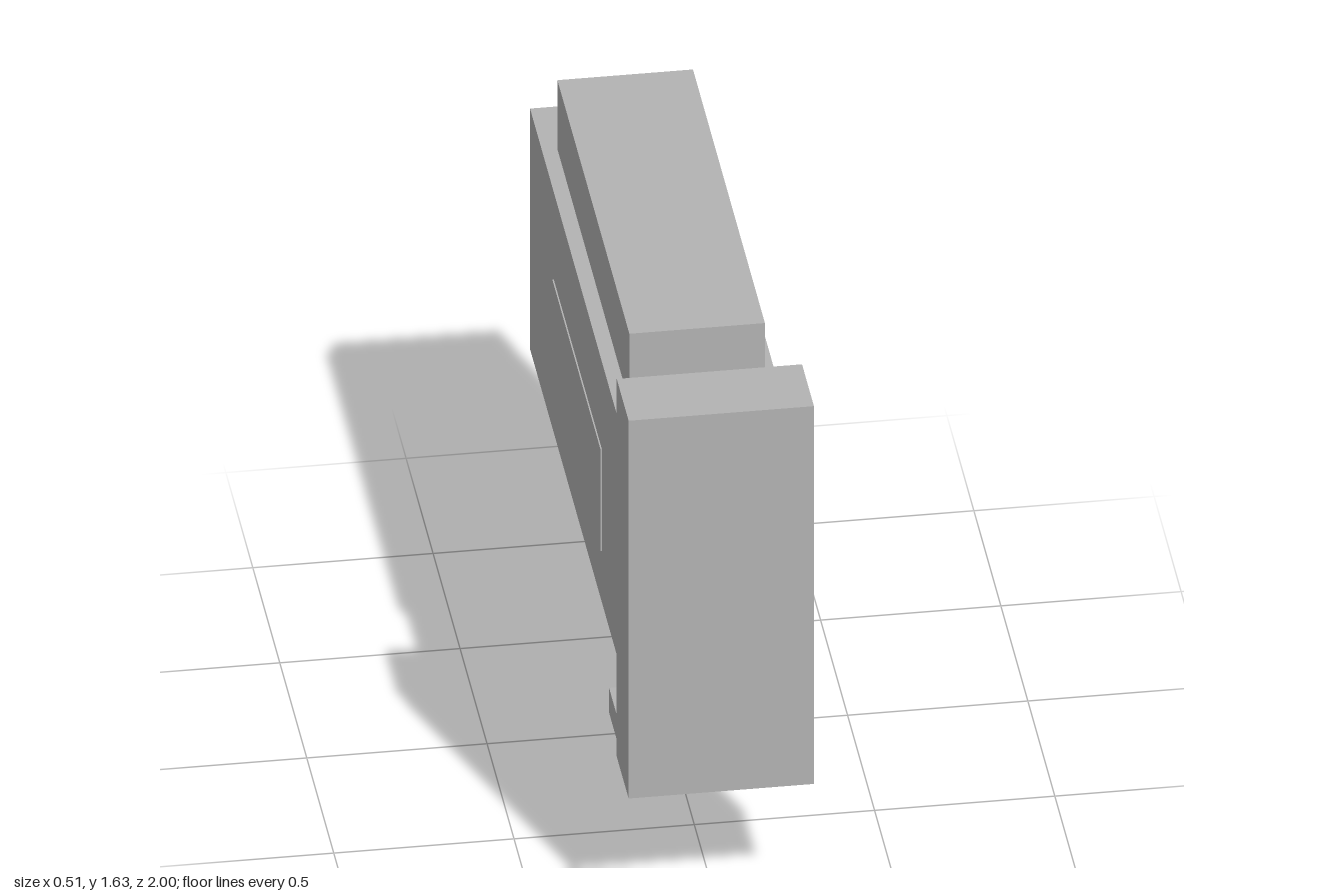
import * as THREE from 'three';

export function createModel() {
  const model = new THREE.Group();
  const grey = new THREE.MeshStandardMaterial({ color: 0xb3b3b3, side: THREE.DoubleSide });
  grey.name = 'plain grey';

  // Box centred on x, given its half width and its y and z limits
  function block(name, halfWidth, y0, y1, z0, z1) {
    const geometry = new THREE.BoxGeometry(halfWidth * 2, y1 - y0, z1 - z0);
    const mesh = new THREE.Mesh(geometry, grey);
    mesh.name = name;
    mesh.position.set(0, (y0 + y1) / 2, (z0 + z1) / 2);
    model.add(mesh);
    return mesh;
  }

  // Stand
  block('standFoot', 0.145, 0, 0.08, -0.11, 0.165);
  block('standPost', 0.085, 0.08, 0.635, -0.055, 0.11);

  // Thin-walled housing: only the four side walls, open at the back
  const housing = block('housing', 0.231, 0.635, 1.412, -1, 0.78);
  const walls = Array.from(housing.geometry.index.array).slice(0, 24);
  housing.geometry.clearGroups();
  housing.geometry.setIndex(walls);

  // Core whose sides stand slightly proud of the housing walls
  block('innerCore', 0.235, 0.8, 1.13, -0.56, 0.33);

  // Front plate and top block
  block('frontPlate', 0.257, 0.415, 1.635, 0.78, 1);
  block('topBlock', 0.188, 1.412, 1.635, -0.78, 0.553);

  return model;
}
